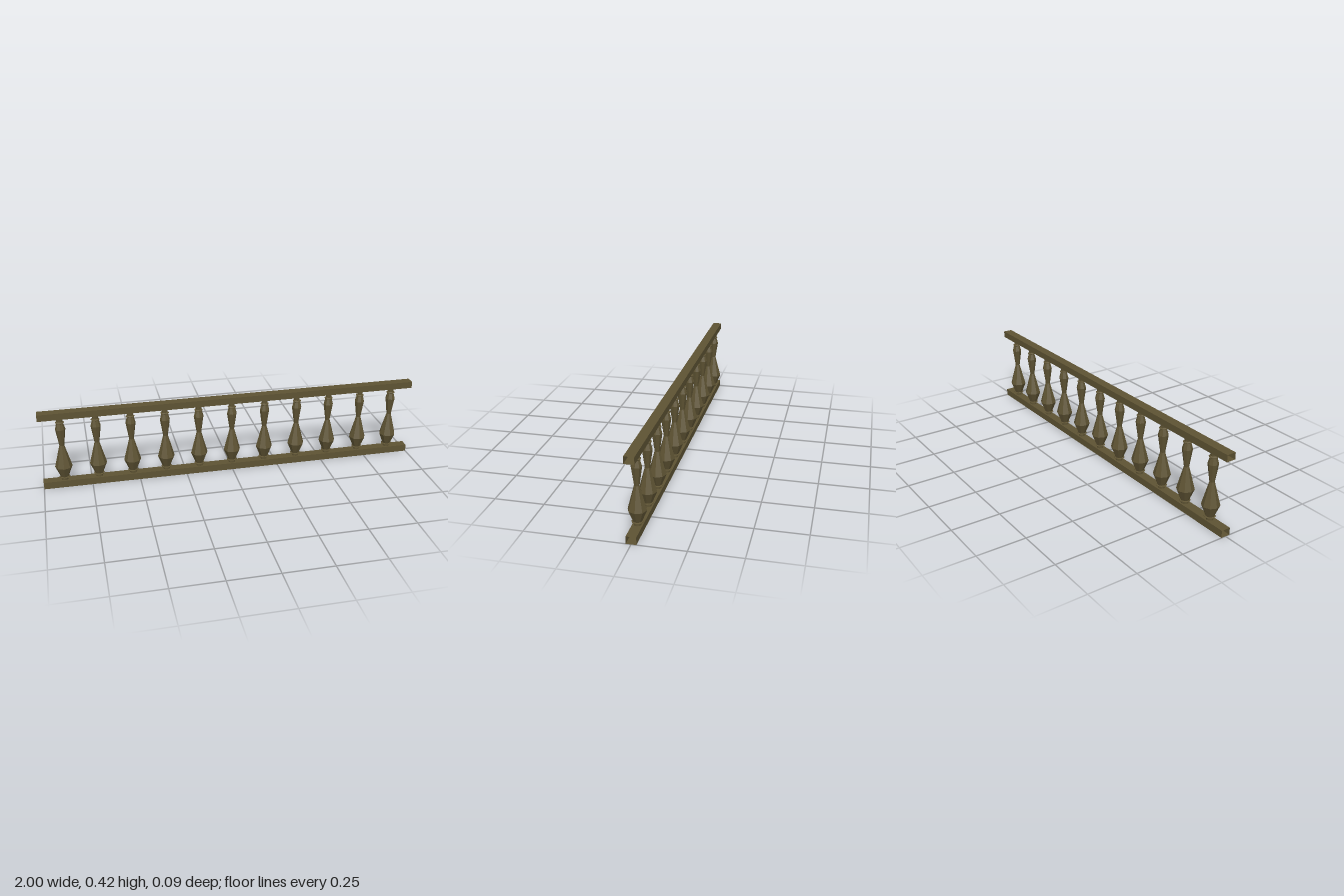
import * as THREE from 'three';

const wood = new THREE.MeshStandardMaterial({ color: 0x5e5333, flatShading: true, side: THREE.DoubleSide });
wood.name = 'dark wood';

// Square rail, open at both ends
function makeRail(name, y, height) {
  const geometry = new THREE.BoxGeometry(2, height, 0.048);
  // The first two faces of the box are its ends; leave them out
  geometry.setIndex(Array.from(geometry.index.array).slice(12));
  geometry.clearGroups();
  const rail = new THREE.Mesh(geometry, wood);
  rail.name = name;
  rail.position.y = y + height / 2;
  return rail;
}

// Eight-sided turned baluster: radius, height
const profile = [
  [0.0175, 0.025], [0.0175, 0.05], [0.028, 0.052], [0.028, 0.054], [0.021, 0.056],
  [0.0445, 0.113], [0.0125, 0.233], [0.026, 0.325], [0.0175, 0.357],
  [0.0225, 0.36], [0.0225, 0.362], [0.015, 0.366], [0.015, 0.386],
].map(([r, y]) => new THREE.Vector2(r, y));

export function createModel() {
  const group = new THREE.Group();
  group.name = 'balustrade';
  group.add(makeRail('bottomRail', 0, 0.037), makeRail('topRail', 0.385, 0.035));

  const balusterGeometry = new THREE.LatheGeometry(profile, 8);
  for (let i = 0; i < 11; i++) {
    const baluster = new THREE.Mesh(balusterGeometry, wood);
    baluster.name = 'baluster' + (i + 1);
    baluster.position.x = (i - 5) * 0.178;
    group.add(baluster);
  }
  return group;
}
